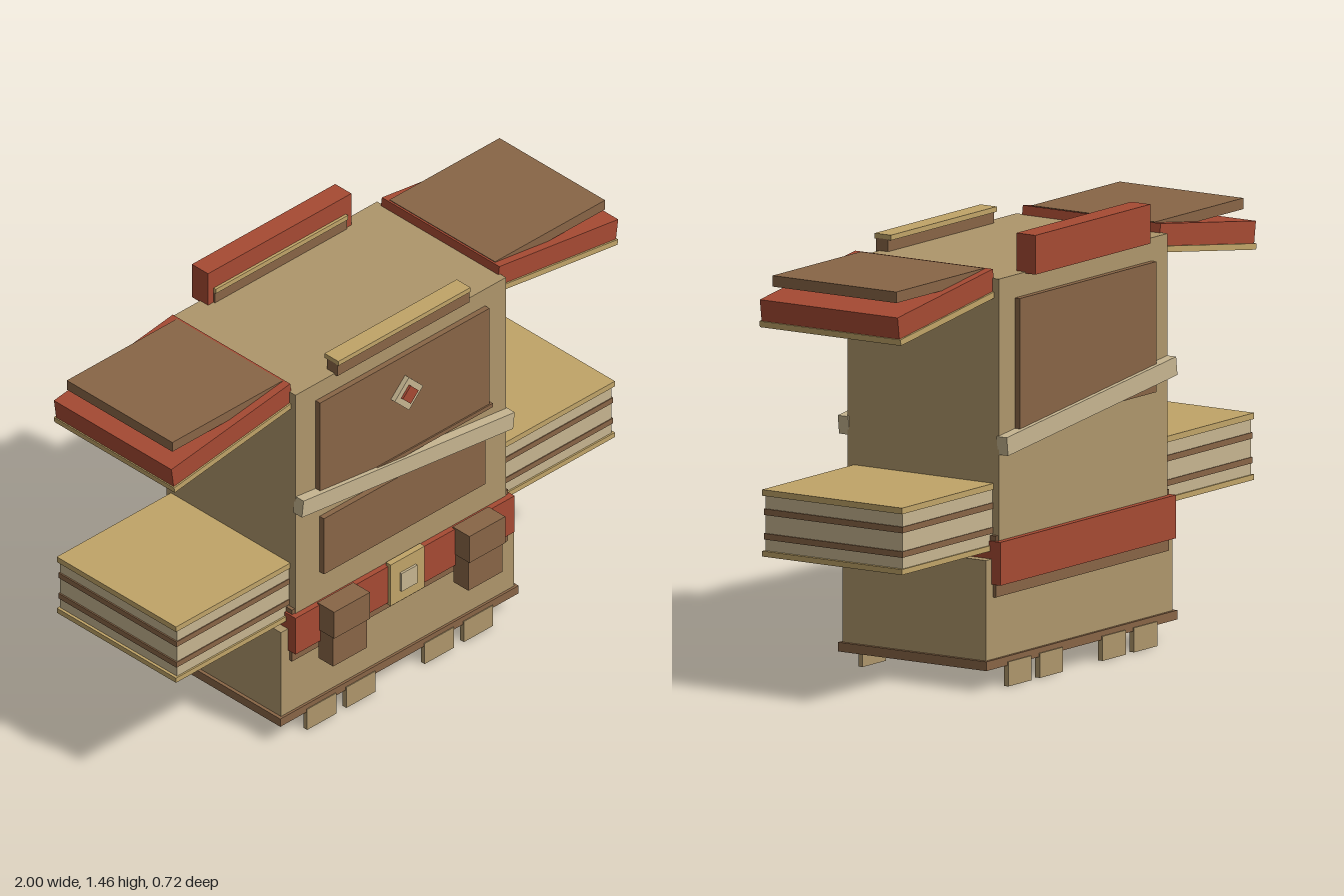
import * as THREE from 'three';

const mat = (name, color) => {
  const m = new THREE.MeshStandardMaterial({ color });
  m.name = name;
  return m;
};

export function createModel() {
  const root = new THREE.Group();
  root.name = 'blockyBookFigure';
  const tan = mat('tan', 0xae966b);
  const brown = mat('brown', 0x886546);
  const red = mat('red', 0xa64a33);
  const cream = mat('cream', 0xc6b590);
  const gold = mat('gold', 0xc0a468);

  // Box given by its [min, max] range on each axis
  const box = (name, material, [x0, x1], [y0, y1], [z0, z1], parent = root) => {
    const mesh = new THREE.Mesh(new THREE.BoxGeometry(x1 - x0, y1 - y0, z1 - z0), material);
    mesh.position.set((x0 + x1) / 2, (y0 + y1) / 2, (z0 + z1) / 2);
    mesh.name = name;
    parent.add(mesh);
    return mesh;
  };
  // Box range mirrored to the given side
  const side = (s, a, b) => (s > 0 ? [a, b] : [-b, -a]);

  // Torso
  box('torso', tan, [-0.47, 0.47], [0.36, 1.335], [-0.32, 0.27]);

  // Belt with its darker lining
  box('beltLining', brown, [-0.482, 0.482], [0.3, 0.5], [-0.317, 0.267]);
  box('belt', red, [-0.489, 0.489], [0.342, 0.483], [-0.34, 0.29]);
  box('buckle', gold, [-0.076, 0.076], [0.335, 0.495], [0.28, 0.302]);
  box('buckleCentre', cream, [-0.035, 0.035], [0.375, 0.445], [0.3, 0.31]);

  // Front and back panels
  box('chestPanel', brown, [-0.38, 0.377], [0.885, 1.27], [0.26, 0.29]);
  box('chestPanelSill', brown, [-0.38, 0.387], [0.882, 0.897], [0.26, 0.295]);
  box('bellyPanel', brown, [-0.362, 0.36], [0.593, 0.81], [0.26, 0.29]);
  box('backPanel', brown, [-0.38, 0.38], [0.835, 1.26], [-0.34, -0.31]);

  // Slanted straps, front and back
  for (const [name, z0, z1] of [['frontStrap', 0.265, 0.305], ['backStrap', -0.355, -0.315]]) {
    const strap = box(name, cream, [-0.475, 0.475], [0.82, 0.881], [z0, z1]);
    strap.rotation.z = -0.121;
  }

  // Diamond badge
  for (const [name, m, w, z1] of [['badgeFrame', cream, 0.09, 0.308], ['badgeGem', red, 0.05, 0.316]]) {
    const h = w / 2;
    box(name, m, [-h, h], [1.13 - h, 1.13 + h], [0.28, z1]).rotation.z = Math.PI / 4;
  }

  // Collar strips and the raised bar behind
  box('frontCollar', brown, [-0.295, 0.295], [1.33, 1.375], [0.235, 0.282]);
  box('frontCollarTrim', gold, [-0.295, 0.295], [1.373, 1.39], [0.224, 0.287]);
  box('backCollar', brown, [-0.295, 0.295], [1.33, 1.375], [-0.33, -0.278]);
  box('backCollarTrim', gold, [-0.295, 0.295], [1.373, 1.39], [-0.33, -0.274]);
  box('backBar', red, [-0.32, 0.32], [1.33, 1.458], [-0.358, -0.284]);

  for (const s of [1, -1]) {
    const label = s > 0 ? 'left' : 'right';

    // Leg block with hem and thin toes
    box(label + 'Leg', tan, side(s, 0, 0.52), [0.09, 0.425], [-0.305, 0.255]);
    box(label + 'Hem', brown, side(s, 0, 0.532), [0.068, 0.098], [-0.315, 0.264]);
    for (const x of [0.11, 0.285]) {
      box(label + 'FrontToe', tan, side(s, x, x + 0.13), [0, 0.08], [0.25, 0.267]);
      box(label + 'BackToe', tan, side(s, x, x + 0.13), [0, 0.08], [-0.319, -0.301]);
    }

    // Belt pouch with flap
    box(label + 'Pouch', brown, side(s, 0.226, 0.378), [0.27, 0.48], [0.28, 0.348]);
    box(label + 'PouchFlap', brown, side(s, 0.222, 0.382), [0.385, 0.488], [0.28, 0.357]);

    // Arm made of stacked pages
    const arm = new THREE.Group();
    arm.name = label + 'PageArm';
    root.add(arm);
    box('pages', cream, side(s, 0.46, 0.97), [0.46, 0.655], [-0.295, 0.24], arm);
    box('topCover', gold, side(s, 0.46, 0.98), [0.648, 0.668], [-0.3, 0.246], arm);
    box('bottomCover', gold, side(s, 0.46, 0.98), [0.45, 0.468], [-0.3, 0.246], arm);
    for (const y of [0.505, 0.585]) {
      box('pageBand', brown, side(s, 0.46, 0.975), [y, y + 0.02], [-0.298, 0.243], arm);
    }

    // Sloping shoulder with gold underside and a level cap
    const shoulder = new THREE.Group();
    shoulder.name = label + 'Shoulder';
    shoulder.position.set(s * 0.467, 1.365, 0);
    shoulder.rotation.z = -s * 0.141;
    root.add(shoulder);
    box('shoulderPlate', red, side(s, 0, 0.536), [-0.073, 0], [-0.295, 0.243], shoulder);
    box('shoulderTrim', gold, side(s, 0, 0.54), [-0.092, -0.072], [-0.302, 0.249], shoulder);
    box(label + 'ShoulderCap', brown, side(s, 0.475, 0.966), [1.33, 1.366], [-0.268, 0.215]);
  }

  return root;
}
